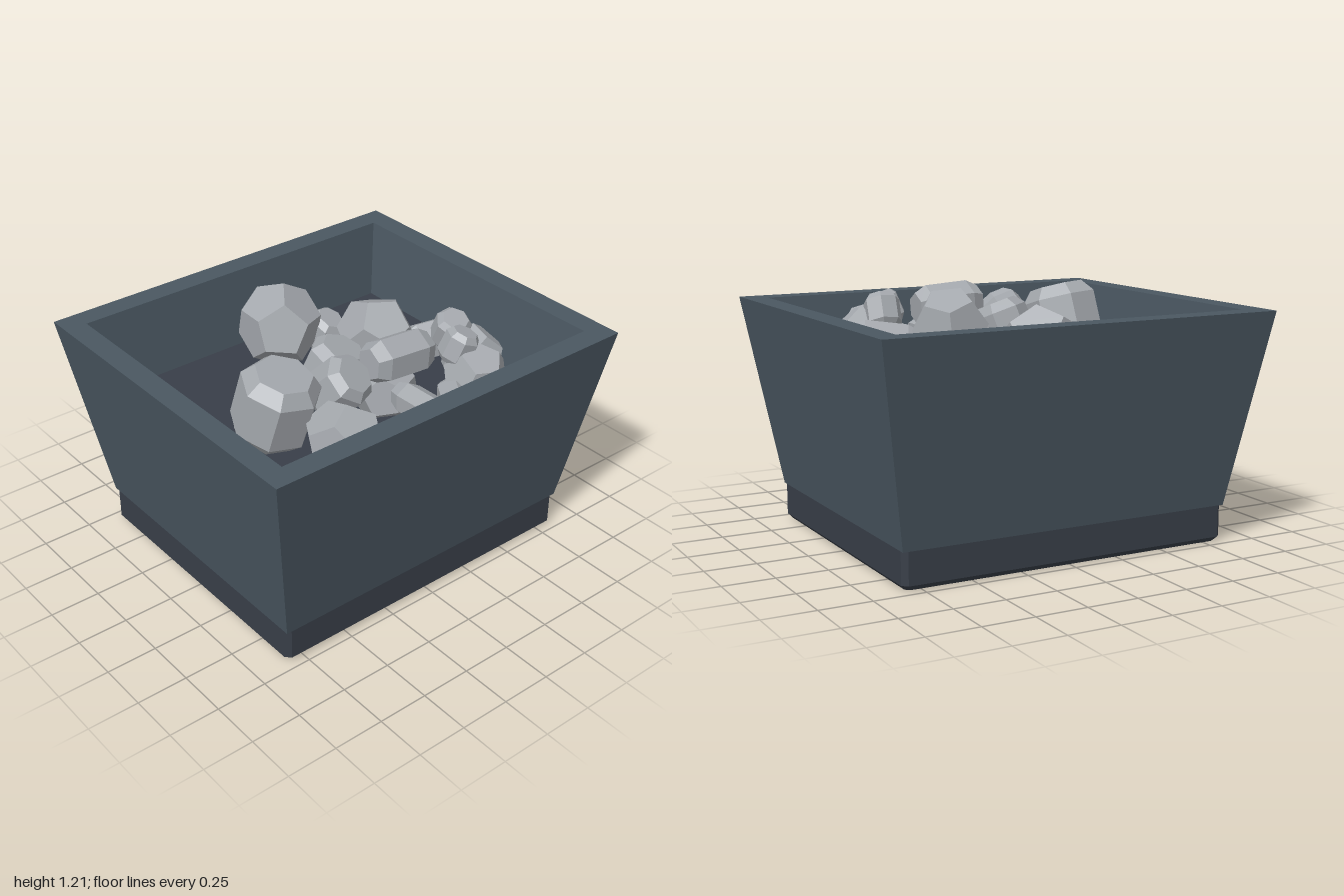
import * as THREE from 'three';

const mat = (color) => new THREE.MeshStandardMaterial({ color, flatShading: true });

// Faceted loft through rectangles [halfX, halfZ, y, cornerCut], with optional caps
function loft(rings, capStart, capEnd) {
  const pos = [], index = [], n = 8;
  for (const [hx, hz, y, c = 0] of rings) {
    const corners = [[hx - c, hz], [hx, hz - c], [hx, -hz + c], [hx - c, -hz],
      [-hx + c, -hz], [-hx, -hz + c], [-hx, hz - c], [-hx + c, hz]];
    for (const [x, z] of corners) pos.push(x, y, z);
  }
  for (let r = 0; r < rings.length - 1; r++) {
    for (let i = 0; i < n; i++) {
      const a = r * n + i, b = r * n + (i + 1) % n;
      index.push(a, b, b + n, a, b + n, a + n);
    }
  }
  const last = (rings.length - 1) * n;
  for (let i = 1; i < n - 1; i++) {
    if (capStart) index.push(0, i + 1, i);
    if (capEnd) index.push(last, last + i, last + i + 1);
  }
  const g = new THREE.BufferGeometry();
  g.setAttribute('position', new THREE.Float32BufferAttribute(pos, 3));
  g.setIndex(index);
  const flat = g.toNonIndexed();
  flat.computeVertexNormals();
  return flat;
}

// Unit prism with chamfered ends, standing along y
function prism(sides) {
  const profile = [[0, -1], [0.72, -1], [1, -0.65], [1, 0.65], [0.72, 1], [0, 1]];
  return new THREE.LatheGeometry(profile.map(([x, y]) => new THREE.Vector2(x, y)), sides);
}

// Repeatable value from -1 to 1
function vary(seed) {
  const s = Math.sin(seed * 12.9898) * 43758.5453;
  return (s - Math.floor(s)) * 2 - 1;
}

export function createModel() {
  const model = new THREE.Group();
  const add = (parent, name, geometry, material) => {
    const mesh = new THREE.Mesh(geometry, material);
    mesh.name = name;
    parent.add(mesh);
    return mesh;
  };
  const wallMat = mat(0x4a5761), darkMat = mat(0x383e48), rockMat = mat(0xa4a8ad);

  // Tapered walls with a thick rim and sloping inner faces
  add(model, 'walls', loft([
    [0.845, 0.715, 0.18], [1, 0.875, 1.125], [0.888, 0.763, 1.125], [0.822, 0.697, 0.73],
  ], true, false), wallMat);

  // Chamfered plinth
  add(model, 'base', loft([
    [0.82, 0.69, 0, 0.02], [0.843, 0.713, 0.025, 0.025], [0.843, 0.713, 0.185, 0.025],
  ], true, true), darkMat);

  // Raised inner floor
  const floor = add(model, 'floor', new THREE.BoxGeometry(1.64, 0.03, 1.39), darkMat);
  floor.position.y = 0.735;

  const rocks = new THREE.Group();
  rocks.name = 'rocks';
  model.add(rocks);

  // Rounded chunks: x, y, z, radius
  const chunkShape = new THREE.DodecahedronGeometry(1.05);
  [
    [0, 0.96, -0.43, 0.2], [-0.35, 0.9, 0.51, 0.18], [0.24, 1.02, 0.03, 0.185],
    [0.1, 0.87, 0.25, 0.16], [0.54, 0.95, 0.38, 0.15], [0.43, 0.95, 0.52, 0.15],
  ].forEach(([x, y, z, r], i) => {
    const rock = add(rocks, `chunk${i + 1}`, chunkShape, rockMat);
    rock.position.set(x, y, z);
    rock.scale.set(r * (1 + 0.06 * vary(i + 1)), r, r * (1 + 0.06 * vary(i + 9)));
    rock.rotation.set(0.4 * vary(i + 20), vary(i + 30), 0.4 * vary(i + 40));
  });

  // Squat cut blocks, tilted: x, y, z, radius
  const blockShape = prism(7);
  [
    [-0.5, 0.99, 0.2, 0.19], [-0.53, 0.86, 0.03, 0.075], [-0.1, 0.98, 0.11, 0.145],
    [-0.2, 1.01, 0.28, 0.13], [0.22, 0.88, -0.36, 0.095], [0.47, 1.08, 0.3, 0.09],
    [0.39, 1.08, 0.44, 0.085],
  ].forEach(([x, y, z, r], i) => {
    const rock = add(rocks, `block${i + 1}`, blockShape, rockMat);
    rock.position.set(x, y, z);
    rock.scale.set(r, r * 0.95, r);
    rock.rotation.set(0.3 + 0.3 * vary(i + 50), vary(i + 60), 0.5 * vary(i + 70));
  });

  // Long pieces lying down: x, y, z, radius, half length, heading from +z
  const barShape = prism(6);
  [
    [0.1, 1.09, 0.34, 0.11, 0.17, 1.55], [0.08, 0.92, 0.56, 0.08, 0.18, 0],
    [0.53, 0.95, 0.15, 0.1, 0.16, 1.2], [0.27, 0.88, 0.57, 0.09, 0.15, -0.6],
  ].forEach(([x, y, z, r, half, heading], i) => {
    const rock = add(rocks, `bar${i + 1}`, barShape, rockMat);
    rock.position.set(x, y, z);
    rock.scale.set(r, half, r);
    rock.rotation.set(1.57 + 0.15 * vary(i + 80), heading, 0, 'YXZ');
  });

  return model;
}
